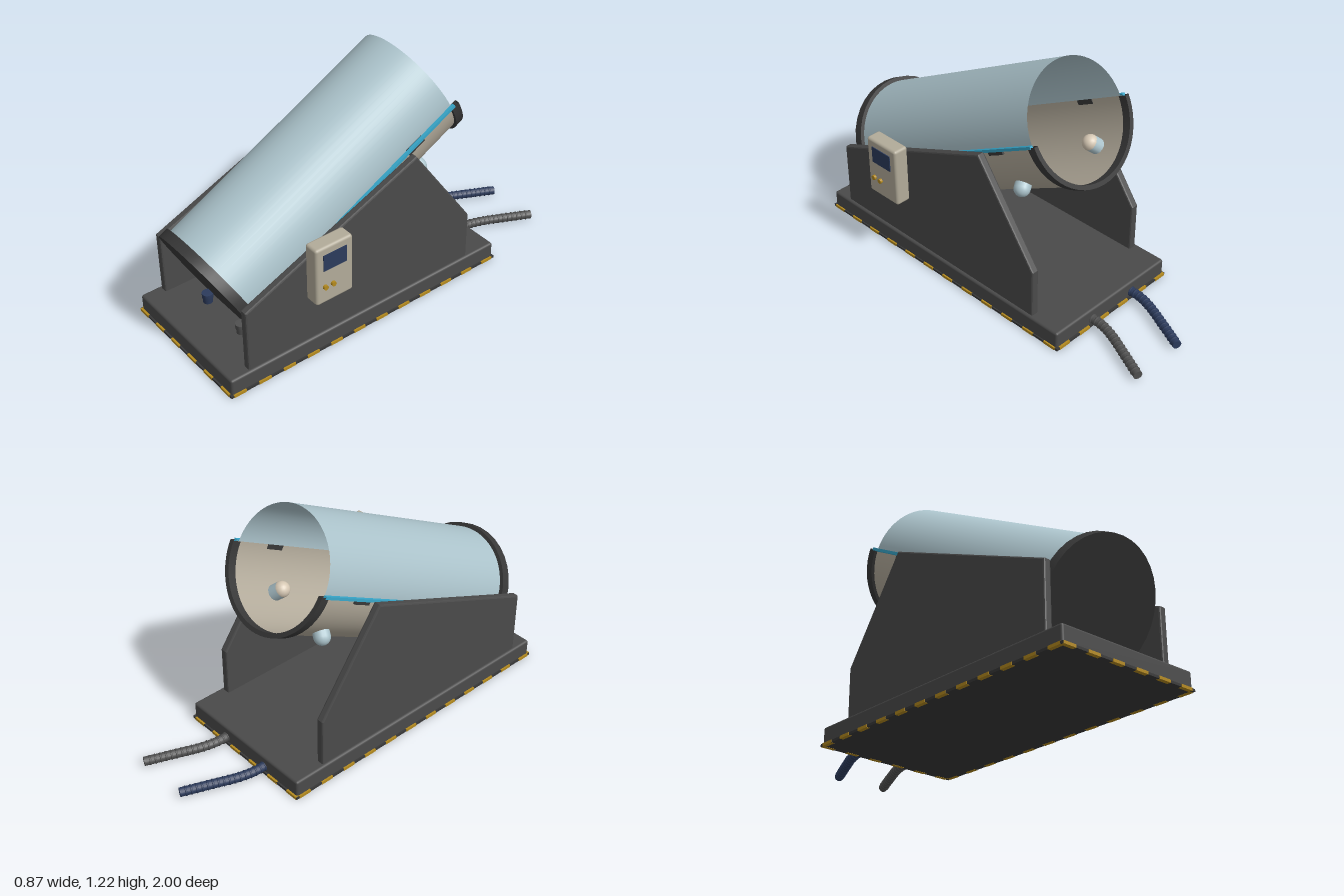
import * as THREE from 'three';
import { toCreasedNormals } from 'three/addons/utils/BufferGeometryUtils.js';
import { RoundedBoxGeometry } from 'three/addons/geometries/RoundedBoxGeometry.js';

const mat = (name, color, side = THREE.FrontSide) => {
  const m = new THREE.MeshStandardMaterial({ color, side });
  m.name = name;
  return m;
};

export function createModel() {
  const charcoal = mat('charcoal', 0x4a4a4a);
  const black = mat('dark rubber', 0x383838, THREE.DoubleSide);
  const glass = mat('pale blue', 0xacc4cc, THREE.DoubleSide);
  const beige = mat('warm beige', 0xb4ac9c, THREE.DoubleSide);
  const boxBeige = mat('box beige', 0xb2ab99);
  const cyan = mat('cyan', 0x38a8cc);
  const navy = mat('navy', 0x2c3b5c);
  const gold = mat('gold', 0xb48a1e);
  const hoseGrey = mat('hose grey', 0x505050);
  const lamp = mat('lamp cream', 0xd6c8b4);

  const model = new THREE.Group();
  const add = (parent, name, geometry, material, x = 0, y = 0, z = 0) => {
    const mesh = new THREE.Mesh(geometry, material);
    mesh.name = name;
    mesh.position.set(x, y, z);
    parent.add(mesh);
    return mesh;
  };
  const CX = -0.048;

  // Base slab and the thin striped skirt under it
  add(model, 'base', new RoundedBoxGeometry(0.765, 0.09, 1.59, 2, 0.012), charcoal, CX, 0.055, 0.195);
  add(model, 'skirt', new THREE.BoxGeometry(0.776, 0.012, 1.606), black, CX, 0.012, 0.195);
  const stripes = new THREE.Group();
  stripes.name = 'warningStripes';
  model.add(stripes);
  for (let i = 0; i < 6; i++) {
    for (const z of [-0.6, 0.99]) {
      add(stripes, 'endStripe', new THREE.BoxGeometry(0.068, 0.014, 0.02), gold, CX - 0.35 + i * 0.137, 0.012, z);
    }
  }
  for (let i = 0; i < 12; i++) {
    for (const s of [-1, 1]) {
      add(stripes, 'sideStripe', new THREE.BoxGeometry(0.02, 0.014, 0.068), gold, CX + s * 0.38, 0.012, 0.95 - i * 0.137);
    }
  }

  // Side panels, drawn as (z, y) outlines
  const outline = new THREE.Shape([
    [0.877, 0.09], [0.877, 0.42], [-0.082, 0.826], [-0.422, 0.348], [-0.422, 0.09],
  ].map(([z, y]) => new THREE.Vector2(z, y)));
  const panelGeo = new THREE.ExtrudeGeometry(outline, {
    depth: 0.024, bevelEnabled: true, bevelSize: 0.008, bevelThickness: 0.008, bevelSegments: 2,
  });
  panelGeo.translate(0, 0, -0.012);
  for (const s of [-1, 1]) {
    add(model, s > 0 ? 'leftPanel' : 'rightPanel', panelGeo, charcoal, CX + s * 0.348).rotation.y = -Math.PI / 2;
  }

  // Tilted drum: local y runs along the axis, local z points to the lid
  const drum = new THREE.Group();
  drum.name = 'drum';
  drum.position.set(CX, 0.36, 0.8);
  drum.rotation.x = -THREE.MathUtils.degToRad(62);
  model.add(drum);
  const half = (r, len, start) =>
    new THREE.CylinderGeometry(r, r, len, 32, 1, true, start, Math.PI).translate(0, len / 2, 0);
  add(drum, 'lid', half(0.292, 1.3, -Math.PI / 2), glass);
  add(drum, 'trough', half(0.297, 1.31, Math.PI / 2), beige);
  add(drum, 'frontCap', toCreasedNormals(new THREE.CylinderGeometry(0.312, 0.312, 0.05, 36), 0.6), black, 0, -0.025, 0);
  const rimProfile = [[0.29, 1.29], [0.312, 1.29], [0.312, 1.335], [0.29, 1.335], [0.29, 1.29]]
    .map(([r, y]) => new THREE.Vector2(r, y));
  add(drum, 'rearRim', toCreasedNormals(new THREE.LatheGeometry(rimProfile, 32, Math.PI / 2, Math.PI), 0.6), black);
  for (const s of [-1, 1]) {
    add(drum, 'sealStrip', new THREE.BoxGeometry(0.017, 1.31, 0.014), cyan, s * 0.306, 0.655, 0);
    for (const y of [0.16, 1.05]) {
      add(drum, 'hinge', new THREE.BoxGeometry(0.014, 0.1, 0.03), black, s * 0.3, y, -0.01);
    }
  }

  // Lamps set through the trough wall, pointing at the axis
  for (const [side, y] of [[1, 1.04], [-1, 1.13]]) {
    const spot = new THREE.Group();
    spot.name = 'lamp';
    spot.position.set(side * 0.2, y, -0.2);
    spot.quaternion.setFromUnitVectors(
      new THREE.Vector3(0, 1, 0), new THREE.Vector3(-side, 0, 1).normalize());
    drum.add(spot);
    add(spot, 'lampBody', new THREE.CapsuleGeometry(0.04, 0.07, 8, 16), glass);
    add(spot, 'lampTip', new THREE.SphereGeometry(0.041, 16, 8, 0, Math.PI * 2, 0, Math.PI / 2), lamp, 0, 0.036, 0);
  }

  // Control box on the left panel
  const control = new THREE.Group();
  control.name = 'controlBox';
  control.position.set(0.383, 0.525, 0.473);
  model.add(control);
  add(control, 'housing', new RoundedBoxGeometry(0.08, 0.31, 0.205, 3, 0.014), boxBeige);
  add(control, 'screen', new THREE.BoxGeometry(0.008, 0.086, 0.127), navy, 0.04, 0.072, 0);
  for (const z of [0.057, 0.013]) {
    add(control, 'knob', new THREE.CylinderGeometry(0.012, 0.012, 0.016, 16), gold, 0.045, -0.06, z).rotation.z = Math.PI / 2;
  }

  // Ribbed hoses leave the rear; their stubs rise into the front cap
  const hose = (name, x, material) => {
    const g = new THREE.Group();
    g.name = name;
    model.add(g);
    const path = new THREE.CatmullRomCurve3([
      [x, 0.042, -0.55], [x, 0.042, -0.65], [x + 0.02, 0.04, -0.73], [x + 0.075, 0.036, -0.86], [x + 0.13, 0.031, -0.985],
    ].map((p) => new THREE.Vector3(...p)));
    add(g, 'tube', new THREE.TubeGeometry(path, 40, 0.022, 14), material);
    const ring = new THREE.TorusGeometry(0.019, 0.006, 6, 16);
    for (let i = 1; i < 18; i++) {
      const rib = add(g, 'rib', ring, material);
      rib.position.copy(path.getPointAt(i / 18));
      rib.quaternion.setFromUnitVectors(new THREE.Vector3(0, 0, 1), path.getTangentAt(i / 18));
    }
    const end = add(g, 'endCap', new THREE.CylinderGeometry(0.022, 0.022, 0.006, 16), material);
    end.position.copy(path.getPointAt(1));
    end.quaternion.setFromUnitVectors(new THREE.Vector3(0, 1, 0), path.getTangentAt(1));
    const stub = [[0, 0.06], [0.024, 0.06], [0.024, 0.115], [0.028, 0.13], [0.028, 0.153], [0, 0.154]]
      .map(([r, y]) => new THREE.Vector2(r, y));
    add(g, 'stub', toCreasedNormals(new THREE.LatheGeometry(stub, 18), 0.7), material, x, 0, 0.765);
  };
  hose('blueHose', -0.19, navy);
  hose('greyHose', 0.088, hoseGrey);

  return model;
}
